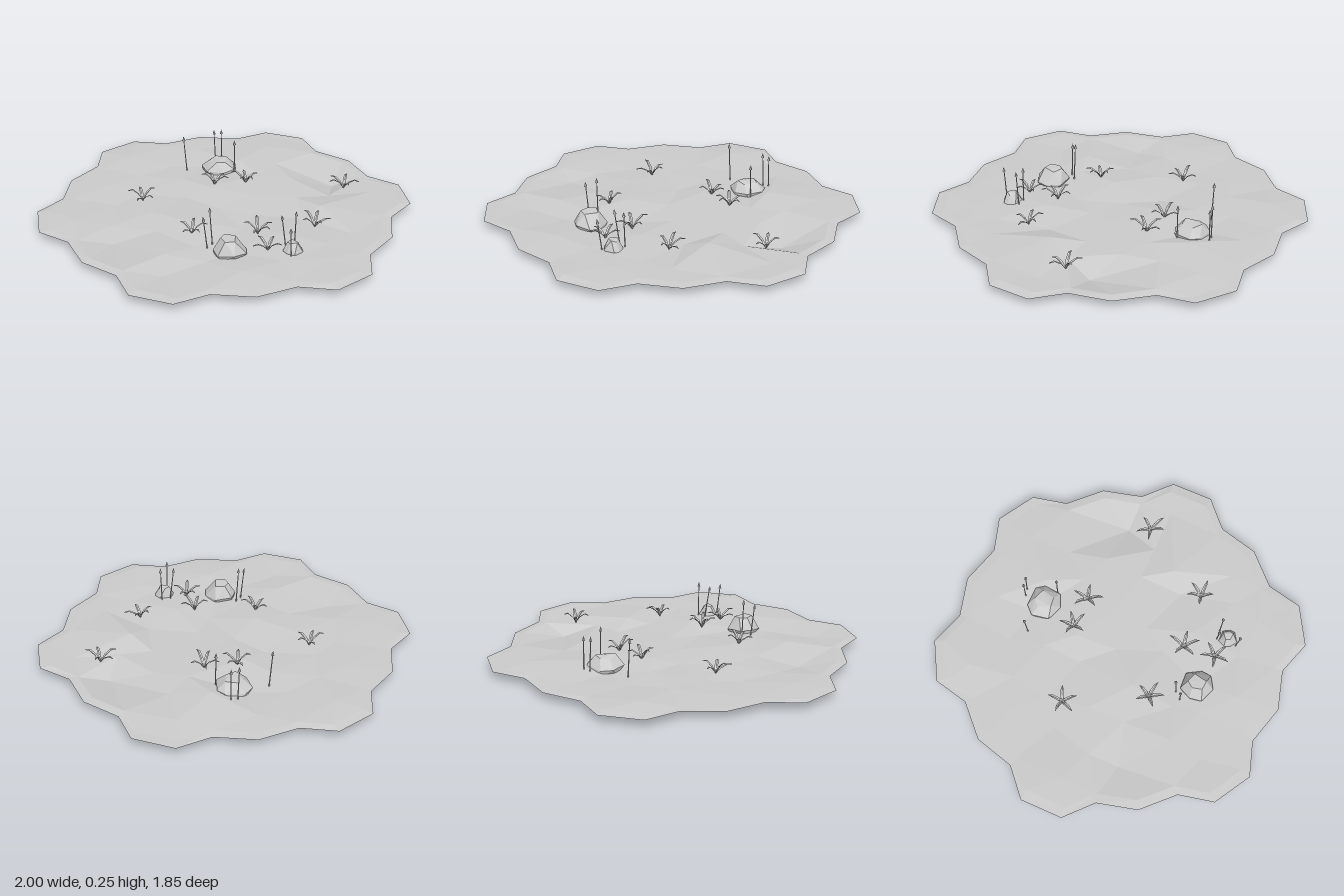
import * as THREE from 'three';
import { ConvexGeometry } from 'three/addons/geometries/ConvexGeometry.js';
import { mergeGeometries } from 'three/addons/utils/BufferGeometryUtils.js';

const material = new THREE.MeshStandardMaterial({
  color: 0xcccccc, flatShading: true, side: THREE.DoubleSide,
});

// Repeatable value from 0 to 1 for any pair of numbers
const hash = (a, b) => {
  const s = Math.sin(a * 127.1 + b * 311.7 + 3.3) * 43758.5453;
  return s - Math.floor(s);
};
const round = (n) => Math.round(n * 100) / 100 + 0;
const keyOf = (x, z) => `${round(x)},${round(z)}`;

function makeMesh(name, geometry) {
  const mesh = new THREE.Mesh(geometry, material);
  mesh.name = name;
  return mesh;
}

function geometryFrom(corners) {
  const geometry = new THREE.BufferGeometry().setFromPoints(corners);
  geometry.computeVertexNormals();
  return geometry;
}

// Ground: nineteen hexagonal cells joined into one uneven sheet with a rim
const CELL = 0.4;
const RADIUS = CELL / Math.sqrt(3);
// Hollows and humps: grid point -> position
const landmarks = {
  '0,-0.69': [0.12, 0, -0.68],
  '0,0.69': [-0.08, 0.022, 0.68],
  '0.4,-0.46': [0.34, 0.066, -0.38],
  '0.4,-0.23': [0.36, 0.034, -0.25],
  '-0.4,-0.46': [-0.37, 0.065, -0.4],
  '-0.4,-0.23': [-0.45, 0.036, -0.24],
};

function groundPoint(x, z) {
  const mark = landmarks[keyOf(x, z)];
  if (mark) return new THREE.Vector3(...mark);
  const a = round(x), b = round(z);
  return new THREE.Vector3(
    x + (hash(a, b) - 0.5) * 0.1,
    0.047 + (hash(b + 2, a) - 0.5) * 0.024,
    z + (hash(a + 5, b + 1) - 0.5) * 0.1,
  );
}

function makeGround() {
  const centres = [];
  for (let row = -2; row <= 2; row++) {
    const count = 5 - Math.abs(row);
    for (let i = 0; i < count; i++) {
      centres.push([(i - (count - 1) / 2) * CELL, row * RADIUS * 1.5]);
    }
  }
  const cells = new Set(centres.map(([x, z]) => keyOf(x, z)));
  const cornerOf = ([x, z], i) => {
    const angle = Math.PI / 6 + i * Math.PI / 3;
    return [x + RADIUS * Math.cos(angle), z + RADIUS * Math.sin(angle)];
  };
  // Number of cells that share each corner
  const shared = {};
  for (const centre of centres) {
    for (let i = 0; i < 6; i++) {
      const key = keyOf(...cornerOf(centre, i));
      shared[key] = (shared[key] || 0) + 1;
    }
  }
  const outline = ([x, z]) => {
    const push = shared[keyOf(x, z)] === 2 ? 1.07 : 1;
    return new THREE.Vector3(x * push, 0.041, z * push);
  };
  const inner = (corner) => {
    if (shared[keyOf(...corner)] === 3) return groundPoint(...corner);
    const p = outline(corner).multiplyScalar(0.945);
    p.y = 0.046 + (hash(round(corner[0]), round(corner[1])) - 0.5) * 0.01;
    return p;
  };
  const triangles = [];
  for (const centre of centres) {
    const middle = groundPoint(...centre);
    for (let i = 0; i < 6; i++) {
      const from = cornerOf(centre, i), to = cornerOf(centre, i + 1);
      const a = inner(from), b = inner(to);
      triangles.push(middle, b, a);
      const angle = (i + 1) * Math.PI / 3;
      const neighbour = keyOf(centre[0] + CELL * Math.cos(angle), centre[1] + CELL * Math.sin(angle));
      if (!cells.has(neighbour)) {
        triangles.push(a, b, outline(to), a, outline(to), outline(from));
      }
    }
  }
  return makeMesh('ground', geometryFrom(triangles));
}

// Rock: faceted hull around three uneven rings, sunk through the ground
function makeRock([x, z, rx, rz, bottom, top], seed) {
  const rings = [[0, 0.85], [0.45, 1], [1, 0.55]];
  const points = [];
  rings.forEach(([level, scale], ring) => {
    const sides = ring === 2 ? 5 : 7;
    for (let i = 0; i < sides; i++) {
      const angle = (i + 0.3 * ring + 0.5 * hash(i, seed + ring)) / sides * Math.PI * 2;
      const r = scale * (0.9 + 0.16 * hash(seed + i, ring));
      const drop = ring ? 0.2 * hash(i + 7, seed + ring) : 0;
      points.push(new THREE.Vector3(
        x + rx * r * Math.cos(angle),
        bottom + (top - bottom) * (level - drop),
        z + rz * r * Math.sin(angle),
      ));
    }
  });
  return makeMesh('rock', new ConvexGeometry(points));
}

// Leaf: creased, tapering strip that arches out along +x
function makeLeaf(length, height) {
  const sections = [[0, 0, 0.004], [0.3, 0.6, 0.009], [0.68, 1, 0.008], [1, 0.95, 0.0005]];
  const rows = sections.map(([out, up, width]) => [-1, 0, 1].map((side) => new THREE.Vector3(
    out * length, up * height + (side ? 0.004 : 0), side * width)));
  const triangles = [];
  for (let i = 0; i < rows.length - 1; i++) {
    for (let j = 0; j < 2; j++) {
      const a = rows[i][j], b = rows[i][j + 1], c = rows[i + 1][j + 1], d = rows[i + 1][j];
      triangles.push(a, b, c, a, c, d);
    }
  }
  return geometryFrom(triangles);
}

// Plant: five leaves fanning out from one root
function makePlant([x, z], seed) {
  const leaves = [];
  for (let i = 0; i < 5; i++) {
    const leaf = makeLeaf(0.065 + 0.025 * hash(i, seed), 0.04 + 0.028 * hash(seed, i + 3));
    leaf.rotateY((i + seed * 0.37 + 0.4 * hash(i + 1, seed)) / 5 * Math.PI * 2);
    leaves.push(leaf);
  }
  const plant = makeMesh('plant', mergeGeometries(leaves));
  plant.position.set(x, 0.046, z);
  return plant;
}

// Reed: thin, slightly leaning stem with a pointed bud
function makeReed([baseX, baseZ, topX, topY, topZ]) {
  const base = new THREE.Vector3(baseX, 0.034, baseZ);
  const lean = new THREE.Vector3(topX, topY, topZ).sub(base);
  const length = lean.length();
  const stem = new THREE.CylinderGeometry(0.0025, 0.0035, length - 0.025, 5);
  stem.translate(0, (length - 0.025) / 2, 0);
  const bud = new THREE.CylinderGeometry(0, 0.009, 0.027, 5);
  bud.translate(0, length - 0.0135, 0);
  const reed = new THREE.Group();
  reed.name = 'reed';
  reed.add(makeMesh('reedStem', stem), makeMesh('reedBud', bud));
  reed.position.copy(base);
  reed.quaternion.setFromUnitVectors(new THREE.Vector3(0, 1, 0), lean.normalize());
  return reed;
}

export function createModel() {
  const model = new THREE.Group();
  model.name = 'groundPatch';
  model.add(makeGround());

  // Rocks: x, z, half width, half depth, bottom, top
  [
    [-0.385, -0.27, 0.1, 0.095, 0.022, 0.115],
    [0.385, 0.285, 0.088, 0.088, 0.025, 0.122],
    [0.585, 0.035, 0.052, 0.05, 0.012, 0.104],
  ].forEach((rock, i) => model.add(makeRock(rock, i + 1)));

  // Plants: x, z
  [
    [0.24, -0.65], [-0.15, -0.27], [-0.24, -0.12], [0.47, -0.22],
    [0.34, 0.06], [0.5, 0.13], [0.12, 0.32], [-0.34, 0.3],
  ].forEach((plant, i) => model.add(makePlant(plant, i + 1)));

  // Reeds: base x, base z, tip x, tip y, tip z
  [
    [-0.49, -0.12, -0.5, 0.255, -0.105], [-0.485, -0.325, -0.487, 0.24, -0.315],
    [-0.475, -0.36, -0.473, 0.235, -0.358], [-0.31, -0.325, -0.31, 0.235, -0.32],
    [0.27, 0.305, 0.26, 0.255, 0.315], [0.285, 0.35, 0.28, 0.23, 0.373],
    [0.525, 0.03, 0.525, 0.235, 0.062], [0.545, -0.01, 0.555, 0.245, -0.01],
    [0.62, 0.08, 0.635, 0.218, 0.098],
  ].forEach((reed) => model.add(makeReed(reed)));

  return model;
}
